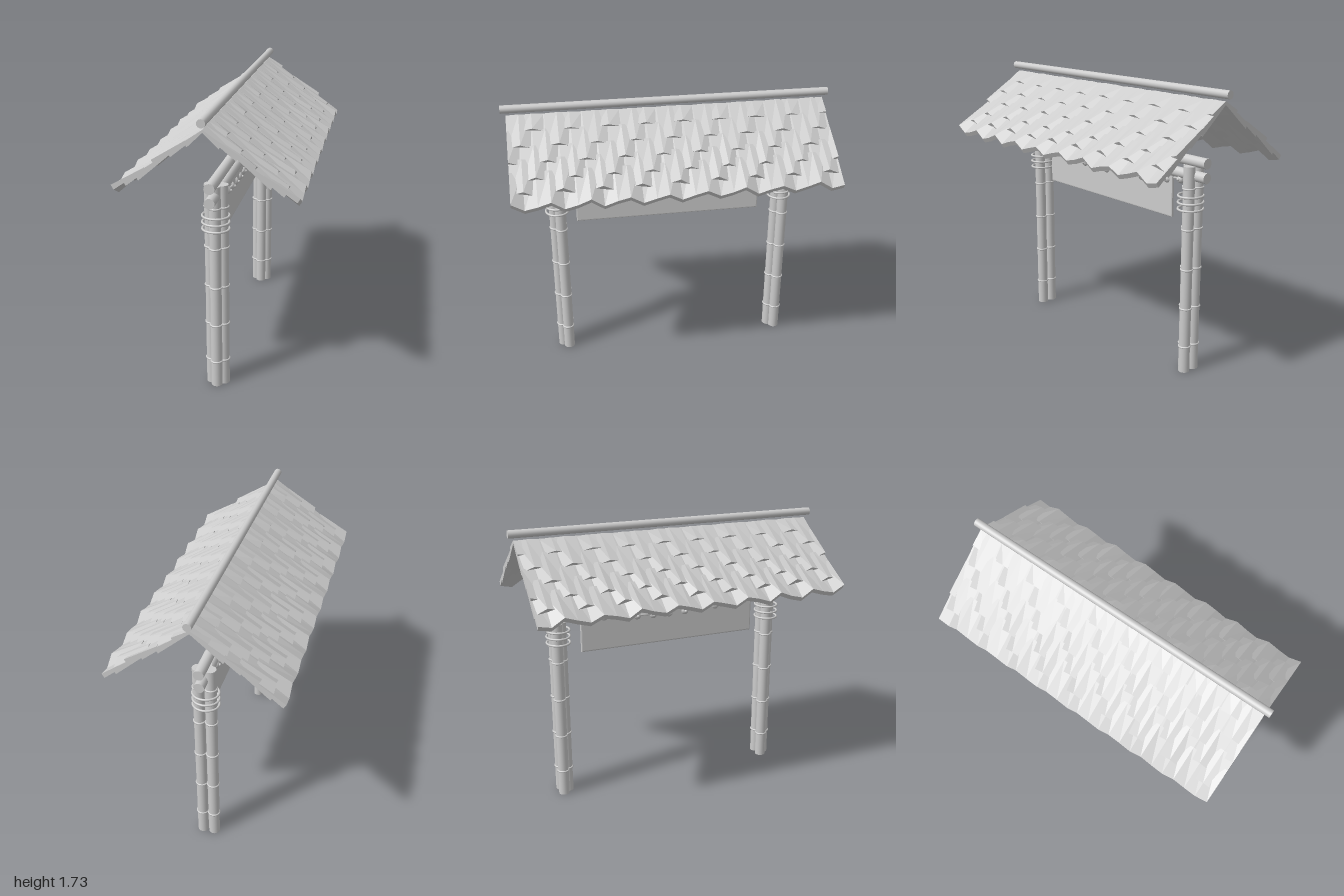
import * as THREE from 'three';

const grey = new THREE.MeshStandardMaterial({ color: 0xcccccc });
grey.name = 'pale grey';
// same colour for faceted shingles
const shingleGrey = new THREE.MeshStandardMaterial({ color: 0xcccccc, flatShading: true });
shingleGrey.name = 'pale grey shingle';

function add(parent, name, geometry, x = 0, y = 0, z = 0, material = grey) {
  const mesh = new THREE.Mesh(geometry, material);
  mesh.name = name;
  mesh.position.set(x, y, z);
  parent.add(mesh);
  return mesh;
}

// Horizontal round pole running along z
function pole(parent, name, radius, length, y) {
  add(parent, name, new THREE.CylinderGeometry(radius, radius, length, 20).rotateX(Math.PI / 2), 0, y, 0);
}

// Repeatable value in -1..1
const noise = (a, b) => 2 * (Math.abs(Math.sin(a * 12.99 + b * 78.23) * 43758.5) % 1) - 1;

// One course of warped shingles: a closed strip lofted along z
function shingleRow(side, row, x0, x1) {
  const n = 26, halfLength = 0.97, wave = [1, -0.1, -0.9];
  const points = [], index = [];
  const slope = x => 1.668 - 0.72 * x;
  for (let i = 0; i <= n; i++) {
    const z = -halfLength + (2 * halfLength * i) / n;
    const w = 0.8 * wave[(i + row * 2) % 3] + 0.2 * noise(i, row);
    const lift = 0.004 + w * (0.009 + 0.036 * x1);
    const top0 = slope(x0) + 0.25 * lift, top1 = slope(x1) + lift + 0.004;
    points.push(
      side * x0, top0, z,
      side * x1, top1, z,
      side * (x1 - 0.015), top1 - 0.026, z,
      side * x0, top0 - 0.014, z);
  }
  const quad = (a, b, c, d) => side > 0 ? index.push(a, b, c, a, c, d) : index.push(a, c, b, a, d, c);
  for (let i = 0; i < n; i++)
    for (let k = 0; k < 4; k++) {
      const a = i * 4 + k, b = i * 4 + (k + 1) % 4;
      quad(a, a + 4, b + 4, b);
    }
  quad(0, 1, 2, 3);
  quad(n * 4 + 3, n * 4 + 2, n * 4 + 1, n * 4);
  const indexed = new THREE.BufferGeometry();
  indexed.setAttribute('position', new THREE.Float32BufferAttribute(points, 3));
  indexed.setIndex(index);
  const geometry = indexed.toNonIndexed();
  geometry.computeVertexNormals();
  return geometry;
}

// Three bamboo canes tied together
function createPost(z) {
  const post = new THREE.Group();
  post.name = 'bambooPost';
  post.position.z = z;
  const canes = [[-0.036, -0.018, 1.28], [0.036, -0.018, 1.28], [0, 0.018, 1.28]];
  for (const [x, dz, height] of canes) {
    add(post, 'cane', new THREE.CylinderGeometry(0.034, 0.034, height, 20), x, height / 2, dz);
    for (let k = 0; k < 5; k++)
      add(post, 'caneKnot', new THREE.TorusGeometry(0.034, 0.006, 8, 20).rotateX(Math.PI / 2),
        x, 0.165 + k * 0.246, dz);
  }
  // rope lashing rings
  for (const y of [1.02, 1.06, 1.1]) {
    const ring = add(post, 'lashing', new THREE.TorusGeometry(0.075, 0.007, 8, 28).rotateX(Math.PI / 2), 0, y, 0);
    ring.scale.set(1.03, 1, 0.95);
  }
  return post;
}

export function createModel() {
  const model = new THREE.Group();
  model.name = 'bambooGate';

  // posts and beams
  model.add(createPost(0.709), createPost(-0.733));
  pole(model, 'lowerBeam', 0.031, 1.71, 1.22);
  pole(model, 'upperBeam', 0.031, 1.71, 1.305);
  pole(model, 'ridgePole', 0.024, 2, 1.708);

  // shingled roof slopes
  const roof = new THREE.Group();
  roof.name = 'roof';
  model.add(roof);
  const edges = [0.1, 0.19, 0.28, 0.37, 0.44, 0.51];
  for (const side of [-1, 1])
    edges.forEach((x1, row) => {
      const x0 = Math.max(0, x1 - 0.19);
      add(roof, 'shingleRow', shingleRow(side, row, x0, x1), 0, 0, 0, shingleGrey);
    });

  // hanging board with a softened edge
  const w = 0.582, low = 0.945, high = 1.2;
  const outline = new THREE.Shape([
    new THREE.Vector2(-w, low), new THREE.Vector2(w, low),
    new THREE.Vector2(w, high), new THREE.Vector2(-w, high)]);
  const board = new THREE.ExtrudeGeometry(outline,
    { depth: 0.012, bevelSize: 0.008, bevelThickness: 0.004, bevelSegments: 2 });
  add(model, 'hangingBoard', board.translate(0, 0, -0.006).rotateY(Math.PI / 2));

  // sagging string of beads in front of and behind the board
  const sag = z => 1.125 + 0.058 * (z / 0.655) ** 2;
  const path = [];
  for (let i = 0; i <= 48; i++) {
    const z = -0.68 + (1.36 * i) / 48;
    path.push(new THREE.Vector3(0.014 * Math.cos(z * 18), sag(z) + 0.005, z));
  }
  add(model, 'beadString', new THREE.TubeGeometry(new THREE.CatmullRomCurve3(path), 96, 0.007, 6));
  for (let i = -6; i <= 6; i++) {
    const z = i * 0.109;
    add(model, 'bead', new THREE.SphereGeometry(0.027, 14, 10), 0, sag(z), z);
    for (const side of [-1, 1])
      add(model, 'beadTip', new THREE.SphereGeometry(0.009, 8, 6), side * 0.027, sag(z), z);
  }
  return model;
}
